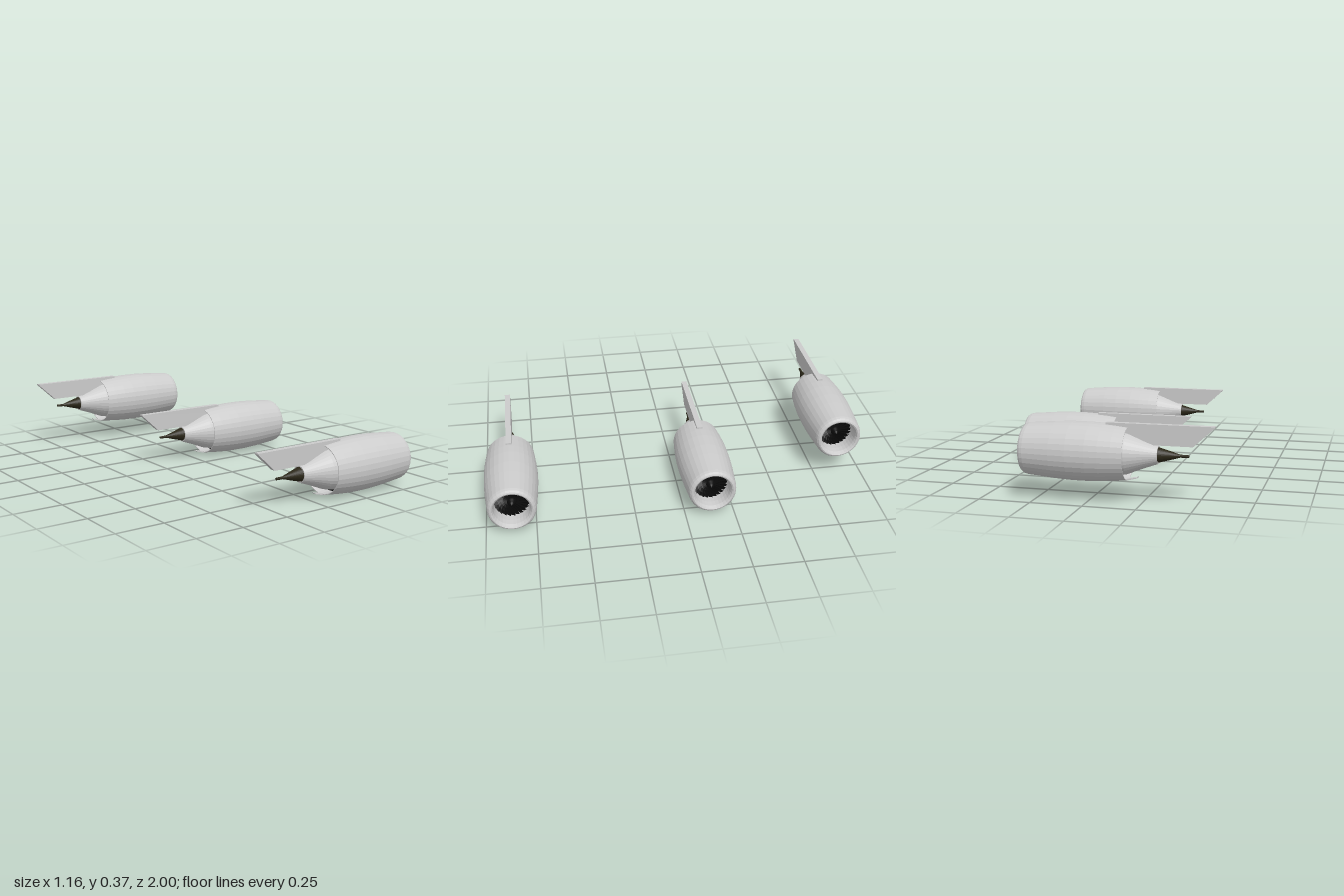
import * as THREE from 'three';

const mat = (color, extra = {}) => new THREE.MeshStandardMaterial({ color, flatShading: true, ...extra });
const grey = mat(0xcccccc);
const darkMetal = mat(0x2b2718);
const black = mat(0x0c0c0c, { side: THREE.DoubleSide });

const SIDES = 32;

function part(name, geometry, material) {
  const mesh = new THREE.Mesh(geometry, material);
  mesh.name = name;
  return mesh;
}

// Turned body along x; profile is [x, radius], outside faces run towards +x
function turned(name, profile, material) {
  const geo = new THREE.LatheGeometry(profile.map(([x, r]) => new THREE.Vector2(r, x)), SIDES);
  return part(name, geo.rotateZ(-Math.PI / 2), material);
}

// Flat plate: side outline in x/y, centred on z = 0
function plate(name, outline, width, material) {
  const shape = new THREE.Shape(outline.map(([x, y]) => new THREE.Vector2(x, y)));
  const geo = new THREE.ExtrudeGeometry(shape, { depth: width, bevelEnabled: false });
  return part(name, geo.translate(0, 0, -width / 2), material);
}

// Ring of twisted fan blades with a spinner and a backing disc
function createFan(x) {
  const fan = new THREE.Group();
  fan.name = 'fan';
  const count = 24;
  for (let i = 0; i < count; i++) {
    const blade = new THREE.PlaneGeometry(0.026, 0.066, 1, 3);
    const p = blade.attributes.position;
    for (let j = 0; j < p.count; j++) {
      const twist = 0.5 + (p.getY(j) / 0.066 + 0.5) * 0.6;
      const w = p.getX(j);
      p.setXYZ(j, w * Math.cos(twist), p.getY(j), w * Math.sin(twist));
    }
    blade.translate(x, 0.055, 0).rotateX((i / count) * Math.PI * 2);
    fan.add(part('fanBlade', blade, black));
  }
  fan.add(turned('spinner', [[x - 0.02, 0.027], [x + 0.01, 0.022], [x + 0.03, 0.012], [x + 0.04, 0]], black));
  fan.add(turned('fanBackDisc', [[x - 0.02, 0.09], [x - 0.02, 0]], black));
  return fan;
}

// One engine, with its axis on the x axis and the intake towards +x
function createEngine() {
  const engine = new THREE.Group();

  engine.add(turned('nacelle', [
    [0.13, 0.112], [0.077, 0.12], [0.077, 0.123], [0.13, 0.129], [0.19, 0.134], [0.25, 0.137],
    [0.34, 0.137], [0.42, 0.133], [0.55, 0.122],
  ], grey));
  engine.add(turned('intakeLip', [
    [0.55, 0.122], [0.565, 0.118], [0.574, 0.111], [0.577, 0.104],
    [0.573, 0.097], [0.56, 0.091], [0.53, 0.088], [0.47, 0.09],
  ], grey));
  engine.add(createFan(0.49));

  // Bypass outlet floor, core cowl and exhaust plug
  engine.add(turned('bypassFloor', [[0.13, 0.1], [0.13, 0.113]], black));
  engine.add(turned('coreCowl', [
    [-0.055, 0.034], [-0.065, 0.036], [-0.065, 0.041], [0.0, 0.064], [0.077, 0.095], [0.13, 0.106],
  ], grey));
  engine.add(turned('exhaustPlug', [
    [-0.205, 0], [-0.205, 0.006], [-0.165, 0.007], [-0.12, 0.02], [-0.065, 0.035], [-0.05, 0.036],
  ], darkMetal));

  // Pylon on top
  engine.add(plate('pylon', [
    [-0.322, 0.141], [-0.322, 0.135], [-0.225, 0.046], [-0.05, 0.046], [0.0, 0.03], [0.18, 0.1], [0.18, 0.141],
  ], 0.029, grey));

  // Drain fairing under the rear edge: a tapering tongue
  engine.add(plate('drainFairing', [
    [0.03, -0.108], [0.032, -0.112], [0.08, -0.125], [0.26, -0.139], [0.26, -0.13], [0.09, -0.12],
  ], 0.024, grey));
  return engine;
}

export function createModel() {
  const model = new THREE.Group();
  model.name = 'engineSet';
  const places = [
    ['leftEngine', 0, 0.14, 0.863],
    ['rightEngine', 0, 0.14, -0.137],
    ['raisedEngine', -0.258, 0.226, -0.863],
  ];
  for (const [name, x, y, z] of places) {
    const engine = createEngine();
    engine.name = name;
    engine.position.set(x, y, z);
    model.add(engine);
  }
  return model;
}
